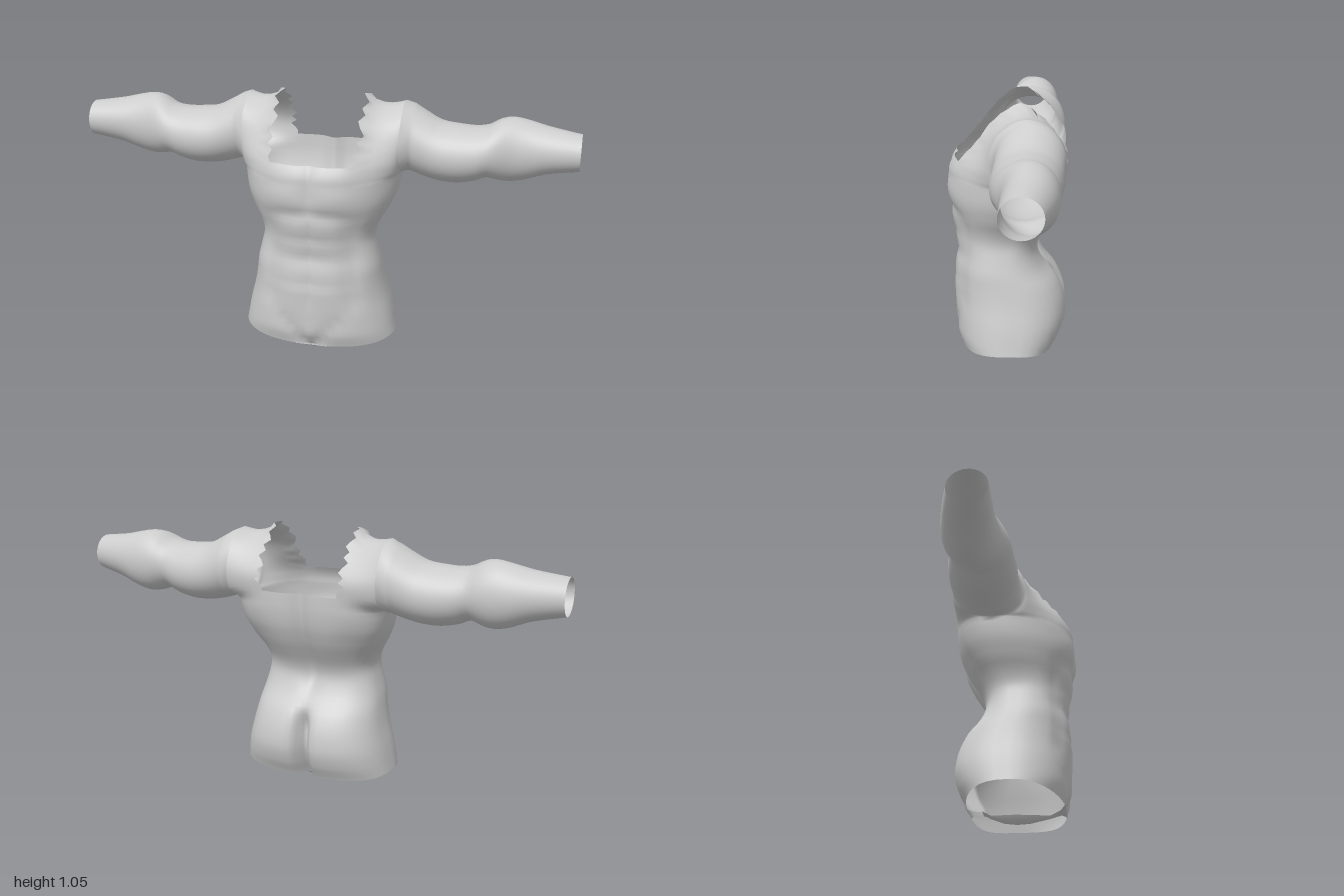
import * as THREE from 'three';

const skin = new THREE.MeshStandardMaterial({ color: 0xcccccc, side: THREE.DoubleSide });
skin.name = 'plain grey';

const lerp = THREE.MathUtils.lerp;
const bump = (d, width) => Math.exp(-((d / width) ** 2));
const ramp = (v, a, b) => THREE.MathUtils.smoothstep(v, a, b);

// Smooth lookup in rows sorted by their first number
function sample(rows, key) {
  let i = 0;
  while (i < rows.length - 2 && key > rows[i + 1][0]) i++;
  const at = (n) => rows[Math.min(Math.max(n, 0), rows.length - 1)];
  const t = THREE.MathUtils.clamp((key - at(i)[0]) / (at(i + 1)[0] - at(i)[0]), 0, 1);
  return at(i).map((p1, c) => {
    const p0 = at(i - 1)[c], p2 = at(i + 1)[c], p3 = at(i + 2)[c];
    return p1 + 0.5 * t * (p2 - p0 + t * (2 * p0 - 5 * p1 + 4 * p2 - p3 + t * (3 * (p1 - p2) + p3 - p0)));
  });
}

// Torso levels: height, half width, front z, back z, side z
const TORSO = [
  [0.05, 0.32, 0.192, -0.19, 0], [0.1, 0.311, 0.21, -0.218, 0], [0.17, 0.297, 0.214, -0.238, 0],
  [0.25, 0.277, 0.218, -0.23, 0], [0.32, 0.263, 0.22, -0.2, 0.01], [0.38, 0.252, 0.214, -0.15, 0.03],
  [0.45, 0.235, 0.206, -0.122, 0.03], [0.5, 0.227, 0.214, -0.132, 0.02], [0.55, 0.242, 0.222, -0.16, 0],
  [0.6, 0.272, 0.23, -0.19, -0.02], [0.67, 0.303, 0.238, -0.22, -0.045], [0.75, 0.318, 0.236, -0.236, -0.07],
];
// Arm rings: x, top, bottom, front z, back z
const ARM = [
  [0.35, 1.013, 0.745, 0.04, -0.226], [0.4, 0.985, 0.73, 0.042, -0.22], [0.46, 0.955, 0.718, 0.048, -0.215],
  [0.53, 0.946, 0.715, 0.05, -0.21], [0.6, 0.944, 0.728, 0.045, -0.2], [0.65, 0.955, 0.748, 0.04, -0.19],
  [0.69, 0.977, 0.737, 0.028, -0.2], [0.74, 0.985, 0.73, 0.008, -0.203], [0.8, 0.975, 0.742, 0, -0.198],
  [0.88, 0.957, 0.772, 0, -0.182], [1, 0.94, 0.797, 0, -0.15],
];
// Shoulder sections (z, y), from the front foot over the top to the back foot
const NECK_SECTION = [[0.225, 0.75], [0.221, 0.785], [0.2, 0.825], [0.125, 0.905], [0.05, 0.995], [-0.05, 1.055],
  [-0.13, 1.01], [-0.195, 0.94], [-0.235, 0.87], [-0.238, 0.81], [-0.235, 0.75]];
const ARMPIT_SECTION = [[-0.07, 0.75], [0, 0.765], [0.045, 0.81], [0.06, 0.88], [0.025, 0.97], [-0.07, 1.026],
  [-0.16, 1], [-0.21, 0.94], [-0.23, 0.87], [-0.2, 0.785], [-0.07, 0.75]];
// Strip under the crotch: z, y, half width, rise of the edge
const CROTCH = [[0.192, 0.05, 0.08, 0], [0.17, 0.035, 0.03, 0.008], [0.13, 0.02, 0.012, 0.01],
  [0.05, 0.003, 0.03, 0.025], [0, 0, 0.035, 0.03], [-0.05, 0.006, 0.03, 0.025],
  [-0.1, 0.025, 0.015, 0.01], [-0.135, 0.05, 0.03, 0]];

const COLS = [0, 0.012, 0.03, 0.055, 0.085, 0.12, 0.16, 0.2, 0.235, 0.265, 0.29, 0.306, 0.315, 0.318];
const CHEST_Y = 0.75, CHEST_W = 0.318, NECK_X = 0.16, RING = 40;

// Front or back surface of the torso at width fraction u and height y
function torsoPoint(u, y, isFront) {
  const [, w, f, b, side] = sample(TORSO, y);
  const x = u * w, p = isFront ? 2.2 : 2.7;
  const round = Math.max(0, 1 - u ** p) ** (1 / p);
  let relief = 0;
  if (isFront) {
    const belly = ramp(y, 0.18, 0.28) * (1 - ramp(y, 0.56, 0.64));
    relief += 0.01 * bump(y - 0.71, 0.05) * bump(x - 0.12, 0.08);            // chest muscles
    relief -= 0.01 * bump(x, 0.025) * ramp(y, 0.6, 0.7);                     // breastbone
    relief -= 0.012 * bump(y - 0.63 + 0.5 * x * x, 0.025) * bump(x, 0.2);    // rib line
    relief -= belly * (0.005 * bump(x, 0.02) + 0.016 * bump(x - 0.165, 0.03));
    for (const crease of [0.33, 0.43, 0.52]) relief -= 0.006 * bump(y - crease, 0.018) * bump(x, 0.14);
    relief -= 0.014 * bump(y - 0.04 - 1.1 * x, 0.03) * bump(x, 0.15);        // groin
  } else {
    relief += 0.026 * bump(x, 0.035) * ramp(y, 0.34, 0.45);                  // spine
    relief += 0.075 * bump(x, 0.026) * (1 - ramp(y, 0.24, 0.37));            // between the buttocks
    relief += 0.012 * bump(x - 0.2, 0.04) * bump(y - 0.6, 0.08);
  }
  return [x, y, side + ((isFront ? f : b) - side) * round + relief * (1 - u ** 4)];
}

// Torso rows from the armpit level down to the hem
function torsoRows() {
  const us = COLS.map((x) => x / CHEST_W), rows = [];
  for (let r = 0; r <= 36; r++) {
    const level = (u) => lerp(CHEST_Y, 0.05 + 0.02 * u ** 4, r / 36);
    const front = us.map((u) => torsoPoint(u, level(u), true));
    const back = us.slice(0, -1).reverse().map((u) => torsoPoint(u, level(u), false));
    rows.push([...front, ...back]);
  }
  return rows;
}

// Arches over the shoulder, from the middle of the chest out to the armpit
function shoulderRows() {
  const curve = (pts) => new THREE.CatmullRomCurve3(pts.map(([z, y]) => new THREE.Vector3(0, y, z)));
  const neck = curve(NECK_SECTION), pit = curve(ARMPIT_SECTION);
  const foot = (x, isFront) => torsoPoint(x / CHEST_W, CHEST_Y, isFront)[2];
  const rag = [0, 0.024, 0.006, 0.03, 0.012];
  return COLS.map((x) => {
    const s = Math.max(0, (x - NECK_X) / (CHEST_W - NECK_X)), row = [];
    for (let i = 0; i <= RING; i++) {
      const t = i / RING, isFront = t < 0.5, h = Math.sin(Math.PI * t);
      const a = neck.getPoint(t), b = pit.getPoint(t);
      const z0 = foot(NECK_X, isFront), zx = foot(x, isFront);
      const k = x > NECK_X ? lerp((z0 - zx) / (z0 + 0.07), s, h) : 0;
      const end = neck.getPoint(isFront ? 0 : 1).z;
      // the feet follow the torso exactly, the correction fades toward the top
      const fix = x <= NECK_X ? zx - end : (z0 - end) * (1 - k);
      const fade = x < NECK_X ? 1 : 1 - h * h;
      const ragged = x === NECK_X && i > 8 && i < 36 ? rag[i % 5] : 0;
      const dip = 0.022 * Math.sin(Math.PI * s) * h ** 4;
      row.push([x + ragged, lerp(a.y, b.y, k) - dip, lerp(a.z, b.z, k) + fix * fade]);
    }
    return row;
  });
}

// Arm rings, starting from the armpit ring
function armRows(first) {
  const rows = [first];
  for (let n = 0; n <= 30; n++) {
    const [x, top, bottom, f, b] = sample(ARM, lerp(0.35, 1, n / 30));
    rows.push(Array.from({ length: RING + 1 }, (_, i) => {
      const a = ((i % RING) / RING) * Math.PI * 2;
      return [x, (top + bottom) / 2 - ((top - bottom) / 2) * Math.cos(a), (f + b) / 2 + ((f - b) / 2) * Math.sin(a)];
    }));
  }
  return rows;
}

function crotchRows() {
  return CROTCH.map(([z, y, w, rise]) => [0, 0.35, 0.7, 1].map((u) => [u * w, y + rise * u * u, z]));
}

export function createModel() {
  const positions = [], seen = new Map(), parts = {};

  // Shared vertices keep the shading smooth from part to part
  const vertex = ([x, y, z], side) => {
    const p = [x * side, y, z], key = p.map((v) => Math.round(v * 1e4)).join();
    if (!seen.has(key)) {
      seen.set(key, positions.length / 3);
      positions.push(...p);
    }
    return seen.get(key);
  };
  const addGrid = (name, rows, side, keep = () => true) => {
    const out = (parts[name] ??= []);
    const tri = (a, b, c) => {
      if (a !== b && b !== c && a !== c) out.push(...(side > 0 ? [a, b, c] : [a, c, b]));
    };
    const ids = rows.map((row) => row.map((p) => vertex(p, side)));
    for (let r = 0; r < ids.length - 1; r++) {
      for (let c = 0; c < ids[r].length - 1; c++) {
        if (!keep(r, c)) continue;
        tri(ids[r][c], ids[r + 1][c], ids[r + 1][c + 1]);
        tri(ids[r][c], ids[r + 1][c + 1], ids[r][c + 1]);
      }
    }
  };

  const torso = torsoRows(), shoulder = shoulderRows(), crotch = crotchRows();
  const arm = armRows(shoulder[shoulder.length - 1]);
  const neckCol = COLS.indexOf(NECK_X);
  for (const side of [1, -1]) {
    addGrid('torso', torso, side);
    // the neck opening is left out between the shoulders
    addGrid('chestAndShoulders', shoulder, side, (r, c) => r >= neckCol || c < 8 || c >= 36);
    addGrid(side > 0 ? 'leftArm' : 'rightArm', arm, side);
    addGrid('crotch', crotch, side);
  }

  const whole = new THREE.BufferGeometry();
  whole.setAttribute('position', new THREE.Float32BufferAttribute(positions, 3));
  whole.setIndex(Object.values(parts).flat());
  whole.computeVertexNormals();

  const group = new THREE.Group();
  group.name = 'bodyShell';
  for (const [name, index] of Object.entries(parts)) {
    const geometry = new THREE.BufferGeometry();
    geometry.setAttribute('position', whole.getAttribute('position'));
    geometry.setAttribute('normal', whole.getAttribute('normal'));
    geometry.setIndex(index);
    const mesh = new THREE.Mesh(geometry, skin);
    mesh.name = name;
    group.add(mesh);
  }
  return group;
}
